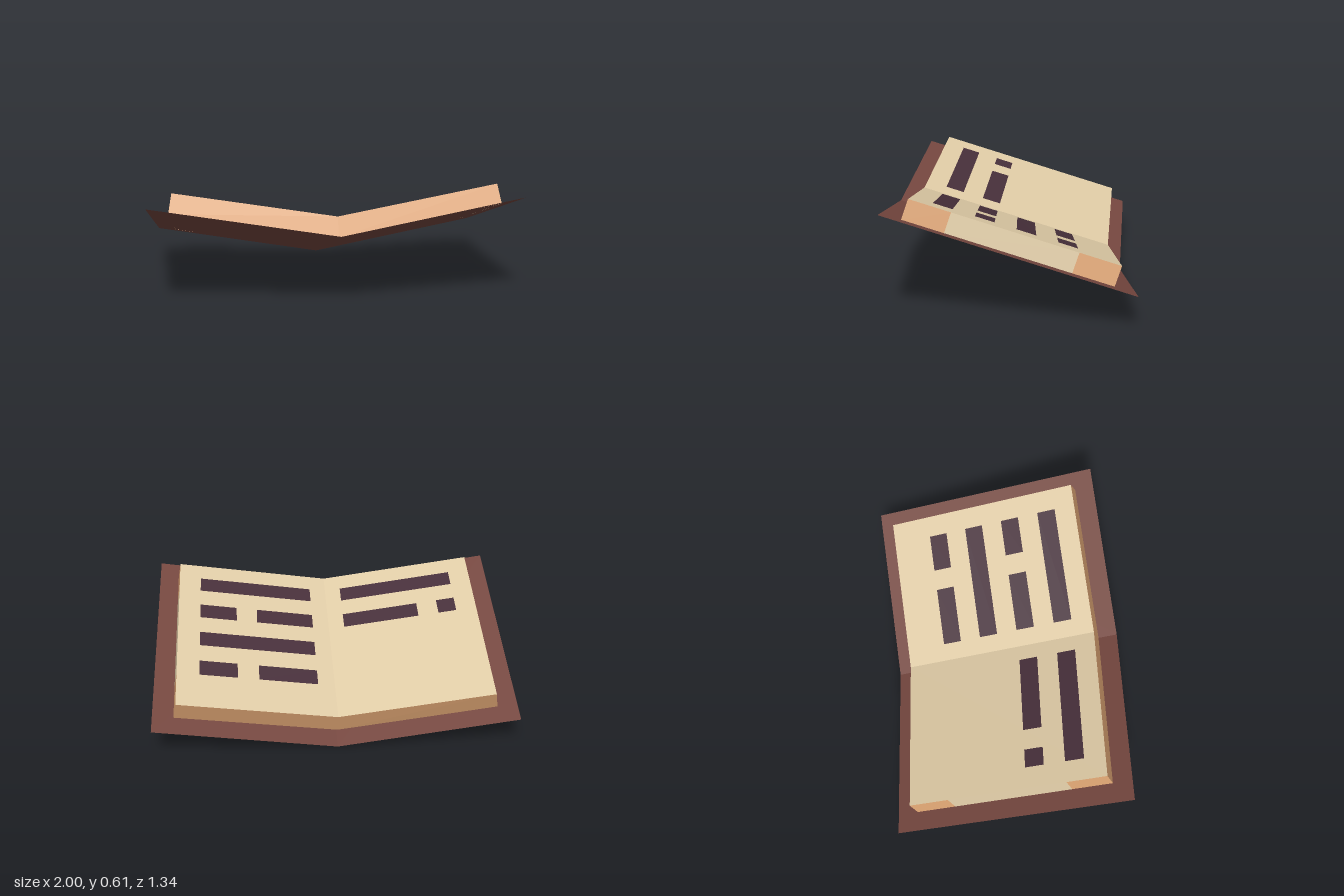
import * as THREE from 'three';

const flat = (name, color) => {
  const m = new THREE.MeshStandardMaterial({ color, side: THREE.DoubleSide, flatShading: true });
  m.name = name;
  return m;
};
const V = (x, y, z) => new THREE.Vector3(x, y, z);

// Four-cornered face; corners run counter-clockwise seen from outside
function quad(name, material, corners) {
  const g = new THREE.BufferGeometry().setFromPoints(corners);
  g.setIndex([0, 1, 2, 0, 2, 3]);
  g.computeVertexNormals();
  const mesh = new THREE.Mesh(g, material);
  mesh.name = name;
  return mesh;
}

export function createModel() {
  const leather = flat('leather', 0x75473f);
  const paper = flat('paper', 0xe0cca6);
  const edge = flat('pageEdge', 0xe0a674);
  const ink = flat('ink', 0x472f3a);
  const book = new THREE.Group();
  book.name = 'openBook';

  // Spine and outer corners of each half: front (f) and back (b)
  const coverSpine = { f: V(-0.035, 0.39, 0.667), b: V(0.03, 0.003, -0.575) };
  const pageSpine = { f: V(-0.03, 0.465, 0.532), b: V(0.018, 0.143, -0.505) };
  const spineDrop = V(0, -0.103, 0.035);
  const halves = [
    {
      name: 'left', sign: 1, drop: V(0.017, -0.1, 0.035),
      cover: { f: V(0.93, 0.56, 0.667), b: V(1, 0.175, -0.575) },
      page: { f: V(0.815, 0.61, 0.532), b: V(0.867, 0.288, -0.505) },
      // Bars as [row, start, end], measured outward from the spine
      bars: [[0, 0.11, 0.86], [1, 0.11, 0.485], [1, 0.62, 0.86],
        [2, 0.11, 0.86], [3, 0.11, 0.485], [3, 0.62, 0.86]],
    },
    {
      name: 'right', sign: -1, drop: V(-0.02, -0.1, 0.035),
      cover: { f: V(-1, 0.545, 0.572), b: V(-0.93, 0.16, -0.676) },
      page: { f: V(-0.868, 0.597, 0.447), b: V(-0.812, 0.275, -0.593) },
      bars: [[0, 0.105, 0.865], [1, 0.105, 0.61], [1, 0.745, 0.865]],
    },
  ];

  for (const { name, sign, drop, cover, page, bars } of halves) {
    const half = new THREE.Group();
    half.name = name + 'Half';
    book.add(half);
    const add = (part, mat, c) => half.add(quad(part, mat, sign > 0 ? c : c.reverse()));

    add('cover', leather, [coverSpine.f, cover.f, cover.b, coverSpine.b]);

    // Page block: top, front and back edges
    const low = (p, d) => p.clone().add(d);
    add('page', paper, [pageSpine.f, page.f, page.b, pageSpine.b]);
    add('frontPageEdge', edge,
      [low(pageSpine.f, spineDrop), low(page.f, drop), page.f, pageSpine.f]);
    add('backPageEdge', edge,
      [low(page.b, drop), low(pageSpine.b, spineDrop), pageSpine.b, page.b]);

    // Outer edge: tinted ends with a paper-coloured middle
    const cuts = [0, 0.2, 0.8, 1];
    for (let i = 0; i < 3; i++) {
      const a = page.f.clone().lerp(page.b, cuts[i]);
      const b = page.f.clone().lerp(page.b, cuts[i + 1]);
      add('outerPageEdge', i === 1 ? paper : edge, [low(a, drop), low(b, drop), b, a]);
    }

    // Ink bars lie just above the page
    const across = page.f.clone().sub(pageSpine.f);
    const along = pageSpine.b.clone().sub(pageSpine.f);
    const lift = across.clone().cross(along).normalize().multiplyScalar(sign * 0.005);
    const at = (u, v) => pageSpine.f.clone().lerp(pageSpine.b, v)
      .lerp(page.f.clone().lerp(page.b, v), u).add(lift);
    for (const [row, u0, u1] of bars) {
      const v0 = 0.104 + row * 0.2, v1 = v0 + 0.094;
      add('inkBar', ink, [at(u0, v0), at(u1, v0), at(u1, v1), at(u0, v1)]);
    }
  }
  return book;
}
